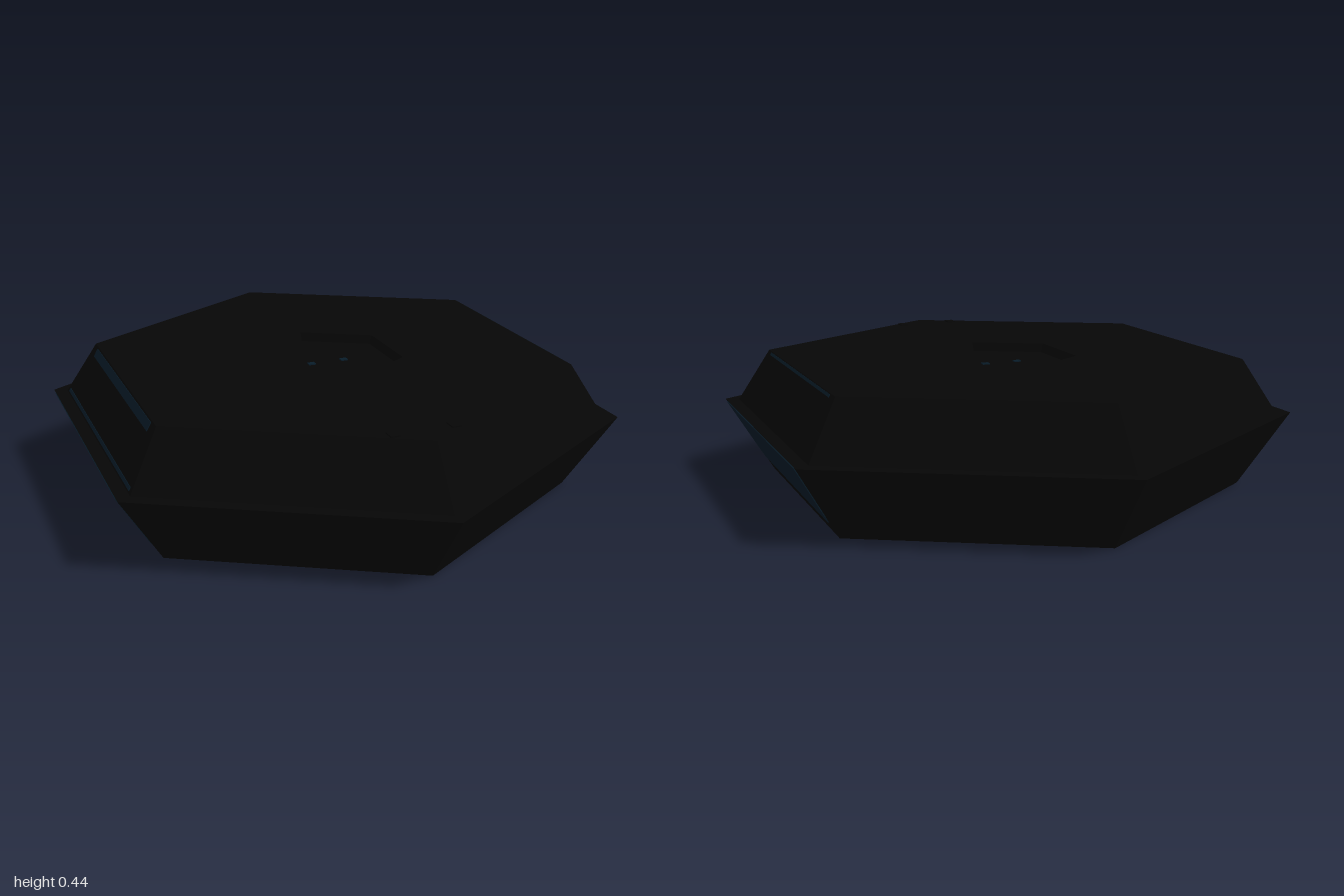
import * as THREE from 'three';

const black = new THREE.MeshStandardMaterial({ name: 'hull black', color: 0x060606 });
const blue = new THREE.MeshStandardMaterial({ name: 'deep blue', color: 0x081c29 });
const grey = new THREE.MeshStandardMaterial({ name: 'pale grey', color: 0x90acb8 });

// Six-sided turned solid with flat faces; corners point along z
function hexLathe(profile) {
  const g = new THREE.LatheGeometry(profile.map(([r, y]) => new THREE.Vector2(r, y)), 6).toNonIndexed();
  g.computeVertexNormals();
  return g;
}

// Horizontal plate drawn in x and z, thickened downward from y
function plate(points, y, depth, hole) {
  const shape = new THREE.Shape(points.map(([x, z]) => new THREE.Vector2(x, z)));
  if (hole) shape.holes.push(new THREE.Path(hole.map(([x, z]) => new THREE.Vector2(x, z))));
  const g = new THREE.ExtrudeGeometry(shape, { depth, bevelEnabled: false });
  g.rotateX(Math.PI / 2);
  g.translate(0, y, 0);
  return g;
}

// Corners of a hexagon in x and z
const hexagon = (r) => Array.from({ length: 6 }, (_, i) => {
  const a = i * Math.PI / 3;
  return [r * Math.sin(a), r * Math.cos(a)];
});

export function createModel() {
  const model = new THREE.Group();
  const add = (name, geometry, material, parent = model) => {
    const mesh = new THREE.Mesh(geometry, material);
    mesh.name = name;
    parent.add(mesh);
    return mesh;
  };

  // Hull with a ledge at the waist and recesses above and below
  add('hull', hexLathe([
    [0, 0.055], [0.74, 0.055], [0.75, 0], [0.83, 0], [1, 0.257], [0.95, 0.257],
    [0.83, 0.44], [0.26, 0.44], [0.25, 0.41], [0, 0.41],
  ]), black);

  // Side windows and seams, laid on the slopes
  const slope = Math.atan2(0.17 * 0.866, 0.257);
  const length = Math.hypot(0.17 * 0.866, 0.257);
  const upperSlope = Math.atan2(0.104, 0.183);
  for (const side of [1, -1]) {
    const group = new THREE.Group();
    group.name = side > 0 ? 'leftSide' : 'rightSide';
    group.rotation.y = side > 0 ? 0 : Math.PI;
    model.add(group);

    const low = 0.21 * length, high = 0.99 * length;
    const outline = [[-0.41, low], [0.41, low], [0.43, low + 0.03], [0.475, high], [-0.475, high], [-0.43, low + 0.03]];
    const shape = new THREE.Shape(outline.map(([u, v]) => new THREE.Vector2(u, v)));
    const g = new THREE.ExtrudeGeometry(shape, { depth: 0.003, bevelEnabled: false });
    g.rotateX(slope);
    g.rotateY(Math.PI / 2);
    g.translate(0.83 * 0.866, 0, 0);
    add('sideWindow', g, blue, group);

    // Seams at the top of the upper slope, wider on the right side
    const addSeam = (y, height, span) => {
      const seam = add('slopeSeam', new THREE.BoxGeometry(0.004, height, span), blue, group);
      seam.position.set(0.719 + (0.44 - y) * 0.104 / 0.183, y, 0);
      seam.rotation.z = upperSlope;
    };
    addSeam(side > 0 ? 0.433 : 0.422, side > 0 ? 0.01 : 0.03, 0.74);
    if (side < 0) addSeam(0.268, 0.012, 0.9);
  }

  // Small marks in the top recess and latches near the front corner
  for (const side of [1, -1]) {
    add('recessMark', new THREE.BoxGeometry(0.025, 0.006, 0.02), blue).position.set(side * 0.06, 0.411, 0);
    add('topLatch', new THREE.BoxGeometry(0.03, 0.006, 0.04), black).position.set(side * 0.1, 0.441, 0.74);
  }

  // Pale belly ring with broad side wings
  add('bellyRing', plate(hexagon(0.52), 0.056, 0.006, hexagon(0.39).reverse()), grey);
  for (const side of [1, -1]) {
    const back = side > 0 ? 0.18 : 0.3;
    const wing = [
      [0.18, 0.416], [0.18, 0.57], [0.58, 0.338], [0.58, -0.338],
      [back, 0.577 * back - 0.673], [back, 0.577 * back - 0.52], [0.45, -0.26], [0.45, 0.26],
    ].map(([x, z]) => [side * x, z]);
    add('bellyWing', plate(wing, 0.056, 0.006), grey);
  }

  // Blue patch and seams on the belly ring
  add('bellyPatch', plate([[0.1, -0.34], [0.1, -0.462], [0, -0.52], [-0.08, -0.474], [-0.08, -0.35], [0, -0.4]], 0.052, 0.004), blue);
  const addBellySeam = (x0, z0, x1, z1) => {
    const seam = add('bellySeam', new THREE.BoxGeometry(Math.hypot(x1 - x0, z1 - z0), 0.004, 0.01), blue);
    seam.position.set((x0 + x1) / 2, 0.05, (z0 + z1) / 2);
    seam.rotation.y = -Math.atan2(z1 - z0, x1 - x0);
  };
  addBellySeam(0.45, -0.26, 0, -0.52);
  addBellySeam(-0.29, -0.19, -0.53, -0.32);

  // Belly hub with tabs, a centre boss and its ring
  add('bellyHub', hexLathe([[0, 0.04], [0.25, 0.04], [0.28, 0.01], [0.35, 0.01], [0.38, 0.056]]), black);
  for (let i = 0; i < 6; i++) {
    const a = Math.PI / 6 + i * Math.PI / 3;
    const tab = add('hubTab', new THREE.BoxGeometry(0.05, 0.03, 0.04), black);
    tab.position.set(0.33 * Math.sin(a), 0.032, 0.33 * Math.cos(a));
    tab.rotation.y = a;
  }
  add('centreBoss', new THREE.CylinderGeometry(0.09, 0.08, 0.03, 24), black).position.y = 0.027;
  const centre = new THREE.RingGeometry(0.035, 0.062, 24);
  centre.rotateX(Math.PI / 2);
  add('centreRing', centre, grey).position.y = 0.01;

  return model;
}
